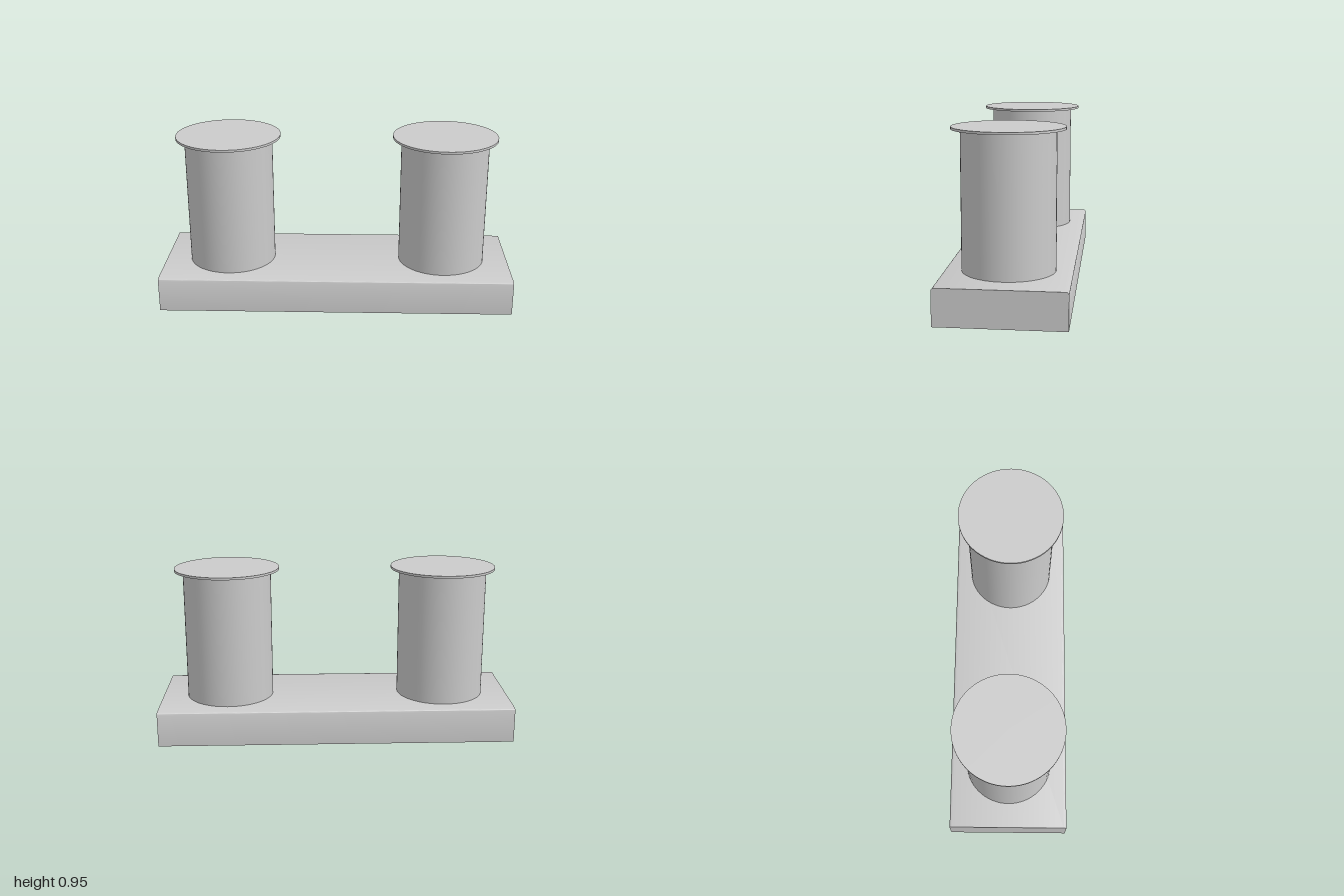
import * as THREE from 'three';
import { toCreasedNormals } from 'three/addons/utils/BufferGeometryUtils.js';

const material = new THREE.MeshStandardMaterial({ color: 0xcccccc });
const shellMaterial = new THREE.MeshStandardMaterial({ color: 0xcccccc, side: THREE.DoubleSide });

// Thin hollow tray, open underneath, with rounded long top edges
function createBase() {
  const length = 2, halfDepth = 0.337, height = 0.198, r = 0.016;
  const profile = new THREE.Shape();
  profile.moveTo(-halfDepth, 0);
  profile.lineTo(halfDepth, 0);
  profile.lineTo(halfDepth, height - r);
  profile.absarc(halfDepth - r, height - r, r, 0, Math.PI / 2);
  profile.lineTo(-halfDepth + r, height);
  profile.absarc(-halfDepth + r, height - r, r, Math.PI / 2, Math.PI);
  profile.lineTo(-halfDepth, 0);

  const solid = new THREE.ExtrudeGeometry(profile, { depth: length, bevelEnabled: false, curveSegments: 8 });
  solid.translate(0, 0, -length / 2).rotateY(Math.PI / 2);

  // Drop the triangles lying on the ground to leave the underside open
  const source = solid.toNonIndexed?.call(solid.index ? solid : solid.clone()) ?? solid;
  const p = (solid.index ? source : solid).attributes.position;
  const kept = [];
  for (let i = 0; i < p.count; i += 3) {
    const top = Math.max(p.getY(i), p.getY(i + 1), p.getY(i + 2));
    if (top < 1e-4) continue;
    for (let k = i; k < i + 3; k++) kept.push(p.getX(k), p.getY(k), p.getZ(k));
  }
  const shell = new THREE.BufferGeometry();
  shell.setAttribute('position', new THREE.Float32BufferAttribute(kept, 3));
  const mesh = new THREE.Mesh(toCreasedNormals(shell, 0.5), shellMaterial);
  mesh.name = 'base';
  return mesh;
}

// Upright drum with a thin overhanging disc on top
function createPost(name, x) {
  const post = new THREE.Group();
  post.name = name;
  const addDrum = (part, radius, bottom, top) => {
    const mesh = new THREE.Mesh(new THREE.CylinderGeometry(radius, radius, top - bottom, 64), material);
    mesh.name = part;
    mesh.position.y = (bottom + top) / 2;
    post.add(mesh);
  };
  addDrum('column', 0.248, 0.198, 0.936);
  addDrum('capDisc', 0.296, 0.936, 0.949);
  post.position.x = x;
  return post;
}

export function createModel() {
  const model = new THREE.Group();
  model.name = 'twinPostStand';
  model.add(createBase(), createPost('leftPost', 0.614), createPost('rightPost', -0.614));
  return model;
}
